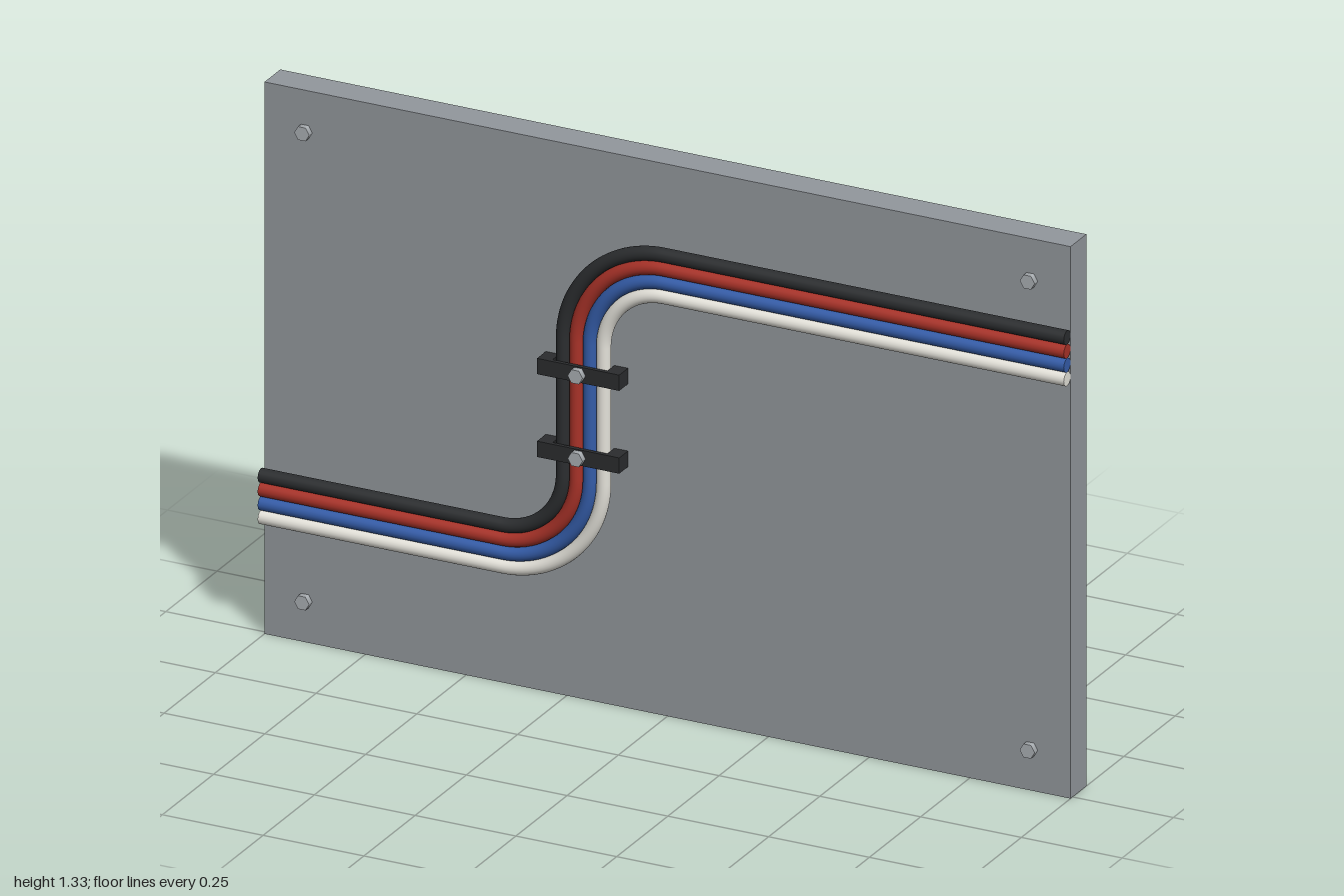
import * as THREE from 'three';

const mat = (name, color) => {
  const m = new THREE.MeshStandardMaterial({ color });
  m.name = name;
  return m;
};

const H = 1.333;          // panel height
const FRONT = 0.01;       // z of the panel's front face
const R = 0.0167;         // pipe radius
const PIPE_Z = FRONT + R;

export function createModel() {
  const grey = mat('panel grey', 0x92979c);
  const steel = mat('bolt steel', 0xa9aeb2);
  const black = mat('clamp black', 0x2b2c2e);
  const pipeColours = [
    ['black', mat('pipe black', 0x2b2d2f)],
    ['red', mat('pipe red', 0xa83228)],
    ['blue', mat('pipe blue', 0x345ca8)],
    ['white', mat('pipe white', 0xe4e2da)],
  ];
  const model = new THREE.Group();
  model.name = 'pipePanel';

  const add = (parent, name, geometry, material, x, y, z) => {
    const mesh = new THREE.Mesh(geometry, material);
    mesh.name = name;
    mesh.position.set(x, y, z);
    parent.add(mesh);
    return mesh;
  };

  // Front sheet and the rear frame with two recesses
  const sheet = 0.013, depth = 0.064, border = 0.067;
  add(model, 'frontSheet', new THREE.BoxGeometry(2, H, sheet), grey, 0, H / 2, FRONT - sheet / 2);
  const rect = (S, x0, y0, x1, y1) => {
    const s = new S();
    s.moveTo(x0, y0).lineTo(x1, y0).lineTo(x1, y1).lineTo(x0, y1).closePath();
    return s;
  };
  const frame = rect(THREE.Shape, -1, 0, 1, H);
  const xi = 1 - border, mid = H / 2;
  frame.holes.push(
    rect(THREE.Path, -xi, border, xi, mid - border / 2),
    rect(THREE.Path, -xi, mid + border / 2, xi, H - border));
  add(model, 'rearFrame', new THREE.ExtrudeGeometry(frame, { depth, bevelEnabled: false }),
    grey, 0, 0, FRONT - sheet - depth);

  // Straight pipe between two points
  const straight = (parent, material, x0, y0, x1, y1) => {
    const length = Math.hypot(x1 - x0, y1 - y0);
    const mesh = add(parent, 'straightPipe', new THREE.CylinderGeometry(R, R, length, 20),
      material, (x0 + x1) / 2, (y0 + y1) / 2, PIPE_Z);
    mesh.rotation.z = Math.atan2(y1 - y0, x1 - x0) - Math.PI / 2;
  };
  // Quarter bend around a centre
  const bend = (parent, material, x, y, radius, start) => {
    const mesh = add(parent, 'bend', new THREE.TorusGeometry(radius, R, 20, 28, Math.PI / 2),
      material, x, y, PIPE_Z);
    mesh.rotation.z = start;
  };

  // Four parallel pipes sharing both bend centres
  const low = { x: -0.4, y: 0.54 }, high = { x: 0, y: 0.87 };
  pipeColours.forEach(([name, material], i) => {
    const pipe = new THREE.Group();
    pipe.name = name + 'Pipe';
    const offset = i * 2 * R;
    const rLow = 0.15 + offset, rHigh = 0.25 - offset;
    straight(pipe, material, -1, low.y - rLow, low.x, low.y - rLow);
    bend(pipe, material, low.x, low.y, rLow, -Math.PI / 2);
    straight(pipe, material, low.x + rLow, low.y, high.x - rHigh, high.y);
    bend(pipe, material, high.x, high.y, rHigh, Math.PI / 2);
    straight(pipe, material, high.x, high.y + rHigh, 1, high.y + rHigh);
    model.add(pipe);
  });

  // Hexagonal bolt heads
  const boltGeometry = new THREE.CylinderGeometry(0.0185, 0.0185, 0.015, 6);
  boltGeometry.rotateY(Math.PI / 2).rotateX(Math.PI / 2);
  const bolt = (parent, name, x, y, z) => add(parent, name, boltGeometry, steel, x, y, z + 0.0075);
  for (const x of [-0.9, 0.9])
    for (const y of [0.1, H - 0.1]) bolt(model, 'cornerBolt', x, y, FRONT);

  // Clamps: a strap over the pipes on two feet
  for (const y of [0.602, 0.802]) {
    const clamp = new THREE.Group();
    clamp.name = 'clamp';
    const top = 0.053, under = FRONT + 2 * R, foot = 0.034;
    add(clamp, 'strap', new THREE.BoxGeometry(0.204, 0.038, top - under), black, -0.2, y, (top + under) / 2);
    for (const side of [-1, 1])
      add(clamp, 'foot', new THREE.BoxGeometry(foot, 0.038, under - FRONT), black,
        -0.2 + side * (0.102 - foot / 2), y, (under + FRONT) / 2);
    bolt(clamp, 'clampBolt', -0.2, y, top);
    model.add(clamp);
  }
  return model;
}
